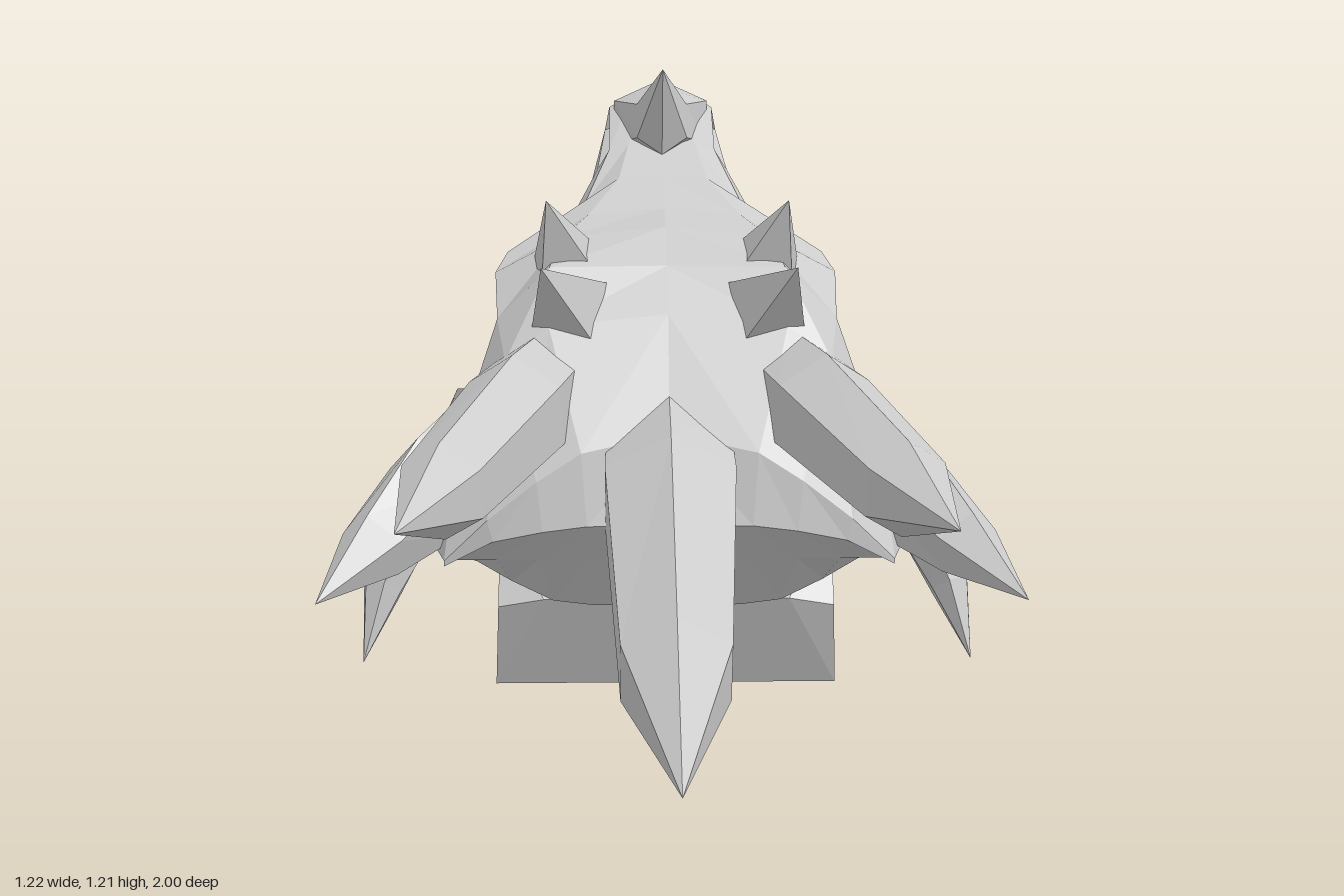
import * as THREE from 'three';

const material = new THREE.MeshStandardMaterial({ color: 0xcccccc, flatShading: true, side: THREE.DoubleSide });

function makeMesh(name, positions) {
  const geo = new THREE.BufferGeometry();
  geo.setAttribute('position', new THREE.Float32BufferAttribute(positions, 3));
  geo.computeVertexNormals();
  const mesh = new THREE.Mesh(geo, material);
  mesh.name = name;
  return mesh;
}

// Joins rows of half-profile points into a skin, mirrored across x = 0
function mirroredSkin(name, rows, isHole = () => false) {
  const out = [];
  const tri = (a, b, c) => {
    out.push(...a, ...b, ...c);
    for (const p of [a, c, b]) out.push(-p[0], p[1], p[2]);
  };
  for (let i = 0; i < rows.length - 1; i++) {
    for (let j = 0; j < rows[i].length - 1; j++) {
      if (isHole(i, j)) continue;
      const a = rows[i][j], b = rows[i][j + 1], c = rows[i + 1][j + 1], d = rows[i + 1][j];
      tri(a, c, b);
      tri(a, d, c);
    }
  }
  return makeMesh(name, out);
}

// Faceted horn: stations are [x, y, z, half width, half height], ending in a point
function horn(name, stations, sides = 6, turn = 0) {
  const pts = stations.map(s => new THREE.Vector3(s[0], s[1], s[2]));
  const rings = stations.map((s, i) => {
    const dir = pts[Math.min(i + 1, pts.length - 1)].clone().sub(pts[Math.max(i - 1, 0)]).normalize();
    const ref = Math.abs(dir.y) > 0.78 ? new THREE.Vector3(0, 0, -1) : new THREE.Vector3(0, 1, 0);
    const side = ref.cross(dir).normalize();
    const up = dir.clone().cross(side);
    return Array.from({ length: sides }, (_, k) => {
      const a = turn + Math.PI / 2 + k / sides * Math.PI * 2;
      return pts[i].clone().addScaledVector(side, Math.cos(a) * s[3]).addScaledVector(up, Math.sin(a) * s[4]).toArray();
    });
  });
  const out = [];
  for (let i = 0; i < rings.length - 1; i++) {
    for (let k = 0; k < sides; k++) {
      const n = (k + 1) % sides;
      const a = rings[i][k], b = rings[i][n], c = rings[i + 1][n], d = rings[i + 1][k];
      out.push(...a, ...b, ...c);
      if (i < rings.length - 2) out.push(...a, ...c, ...d);
    }
  }
  return makeMesh(name, out);
}

// The same horn on both sides
function hornPair(group, name, stations, sides, turn) {
  group.add(horn('left' + name, stations, sides, turn));
  group.add(horn('right' + name, stations.map(([x, ...rest]) => [-x, ...rest]), sides, turn ? -turn : 0));
}

export function createModel() {
  const model = new THREE.Group();
  model.name = 'hornedSkull';

  // Cranium from beak tip to nape; each row runs from the crown to the lower edge
  const snout = [
    [[0, 0.96, -0.89], [0.03, 0.96, -0.885], [0.05, 0.955, -0.88], [0.06, 0.95, -0.87], [0.06, 0.94, -0.85]],
    [[0, 1.09, -0.82], [0.05, 1.08, -0.82], [0.085, 1.04, -0.81], [0.1, 0.99, -0.79], [0.1, 0.94, -0.78]],
    [[0, 1.17, -0.7], [0.06, 1.15, -0.68], [0.11, 1.12, -0.66], [0.12, 1.07, -0.69], [0.14, 0.89, -0.7]],
    [[0, 1.05, -0.5], [0.07, 1.05, -0.5], [0.11, 1.04, -0.5], [0.135, 1.0, -0.48], [0.2, 0.77, -0.53]],
    [[0, 0.99, -0.39], [0.09, 0.99, -0.39], [0.16, 0.94, -0.37], [0.22, 0.85, -0.38], [0.26, 0.7, -0.45]],
  ];
  const brow = [
    [[0, 0.94, -0.28], [0.15, 0.93, -0.26], [0.31, 0.86, -0.22], [0.31, 0.74, -0.27], [0.31, 0.64, -0.37]],
    [[0, 0.92, -0.12], [0.2, 0.9, -0.12], [0.33, 0.83, -0.14], [0.36, 0.58, -0.1], [0.37, 0.42, -0.18]],
    [[0, 0.86, 0], [0.22, 0.86, 0.02], [0.32, 0.76, 0], [0.34, 0.67, 0], [0.46, 0.35, -0.02]],
  ];
  const nape = [
    [[0, 0.78, 0.08], [0.22, 0.76, 0.1], [0.3, 0.7, 0.12], [0.39, 0.55, 0.1], [0.44, 0.36, 0.12]],
    [[0, 0.58, 0.2], [0.16, 0.55, 0.23], [0.24, 0.5, 0.24], [0.33, 0.43, 0.24], [0.41, 0.35, 0.22]],
    [[0, 0.42, 0.24], [0.15, 0.42, 0.25], [0.23, 0.41, 0.25], [0.32, 0.39, 0.24], [0.41, 0.34, 0.22]],
    [[0, 0.33, 0.14], [0.15, 0.33, 0.14], [0.24, 0.33, 0.14], [0.32, 0.33, 0.14], [0.4, 0.33, 0.14]],
    [[0, 0.2, 0], [0.14, 0.2, 0], [0.22, 0.21, 0], [0.3, 0.25, 0], [0.4, 0.31, 0]],
  ];
  const cranium = [...snout, ...brow, ...nape];
  // Nostril and eye sockets stay open
  const socket = (i, j) => j === 2 && (i === 2 || i === 5 || i === 6);
  model.add(mirroredSkin('cranium', cranium, socket));

  // Recessed nostril walls
  model.add(mirroredSkin('nostrilWalls', [
    [[0.11, 1.12, -0.66], [0.06, 1.09, -0.65], [0.12, 1.07, -0.69]],
    [[0.11, 1.04, -0.5], [0.07, 1.02, -0.51], [0.135, 1.0, -0.48]],
  ]));

  // Roof of the mouth between the lower edges, then the throat down to the jaw joint
  const palate = cranium.slice(0, 7).map(row => {
    const [x, y, z] = row[4];
    return [[0, y + x * 0.25, z], [x * 0.6, y + x * 0.2, z], [x, y, z]];
  });
  const throat = [[0, 0.2, -0.06], [0.24, 0.2, -0.06], [0.36, 0.27, -0.06]];
  model.add(mirroredSkin('palate', [...palate, throat]));

  // Cheek flare joining the skull to the jaw horns
  model.add(mirroredSkin('cheek', [
    [[0.34, 0.66, 0], [0.36, 0.58, -0.1], [0.37, 0.42, -0.18], [0.36, 0.27, -0.06]],
    [[0.41, 0.57, 0], [0.43, 0.5, -0.13], [0.48, 0.38, -0.18], [0.46, 0.3, -0.06]],
    [[0.44, 0.46, 0.04], [0.52, 0.4, -0.04], [0.54, 0.33, -0.1], [0.48, 0.3, -0.02]],
  ]));

  // Lower jaw: floor, inner rim, outer rim, side, keel
  const jaw = [
    [[0, 0.2, -0.04], [0.24, 0.2, -0.04], [0.33, 0.18, -0.06], [0.34, 0, -0.13], [0, 0, -0.13]],
    [[0, 0.2, -0.2], [0.25, 0.33, -0.2], [0.33, 0.35, -0.18], [0.34, 0.01, -0.2], [0, 0, -0.2]],
    [[0, 0.22, -0.42], [0.21, 0.37, -0.45], [0.29, 0.39, -0.45], [0.27, 0.01, -0.42], [0, 0.005, -0.42]],
    [[0, 0.37, -0.62], [0.15, 0.43, -0.62], [0.23, 0.44, -0.61], [0.2, 0.36, -0.67], [0, 0.35, -0.67]],
    [[0, 0.5, -0.83], [0.1, 0.58, -0.85], [0.17, 0.6, -0.84], [0.16, 0.43, -0.83], [0, 0.43, -0.83]],
    [[0, 0.63, -0.97], [0.07, 0.65, -0.97], [0.11, 0.66, -1], [0.11, 0.51, -1], [0, 0.51, -1]],
  ];
  model.add(mirroredSkin('lowerJaw', jaw));
  // End walls of the jaw
  for (const [name, r] of [['jawBack', jaw[0]], ['chin', jaw[5]]]) {
    model.add(mirroredSkin(name, [r.slice(0, 3), [r[4], r[3], r[3]]]));
  }

  // Beak crest pointing back over the snout
  model.add(horn('noseHorn', [[0, 1.05, -0.8, 0.08, 0.07], [0, 1.09, -0.64, 0.115, 0.09], [0, 1.1, -0.5, 0.06, 0.075], [0, 1.21, -0.39, 0, 0]]));

  // Large horns
  model.add(horn('napeHorn', [[0, 0.52, 0.08, 0.13, 0.14], [0, 0.47, 0.25, 0.135, 0.14], [0, 0.28, 0.66, 0.105, 0.115], [0, 0.2, 1, 0, 0]]));
  hornPair(model, 'CrownHorn', [[0.22, 0.65, 0.02, 0.09, 0.1], [0.275, 0.62, 0.2, 0.1, 0.11], [0.385, 0.55, 0.52, 0.08, 0.085], [0.44, 0.54, 0.76, 0, 0]]);
  hornPair(model, 'CheekHorn', [[0.36, 0.5, 0, 0.1, 0.13], [0.44, 0.46, 0.12, 0.09, 0.11], [0.53, 0.39, 0.27, 0.065, 0.065], [0.61, 0.34, 0.46, 0, 0]], 5);
  hornPair(model, 'JawHorn', [[0.38, 0.6, -0.05, 0.03, 0.05], [0.43, 0.46, -0.08, 0.045, 0.09], [0.5, 0.34, -0.08, 0.055, 0.1], [0.55, 0.23, -0.01, 0.04, 0.06], [0.58, 0.11, 0.07, 0, 0]], 6);

  // Four-sided spikes on the brow
  hornPair(model, 'FrontSpike', [[0.19, 0.85, -0.06, 0.08, 0.08], [0.225, 0.985, 0.03, 0, 0]], 4, Math.PI / 4);
  hornPair(model, 'RearSpike', [[0.185, 0.78, 0.05, 0.09, 0.09], [0.23, 0.88, 0.19, 0, 0]], 4, Math.PI / 4);

  // Teeth spaced along the jaw edge
  const teeth = (name, edge, count, length, width, lean) => {
    const curve = new THREE.CatmullRomCurve3(edge.map(p => new THREE.Vector3(...p)));
    for (let i = 0; i < count; i++) {
      const p = curve.getPointAt(i / (count - 1));
      const l = length * (i % 2 ? 0.85 : 1);
      hornPair(model, name + (i + 1), [[p.x, p.y, p.z, width, width], [p.x * 0.95, p.y + l, p.z + lean, 0, 0]], 4);
    }
  };
  teeth('UpperTooth', [[0.085, 0.97, -0.77], [0.12, 0.91, -0.7], [0.18, 0.79, -0.53], [0.27, 0.67, -0.39]], 6, -0.14, 0.048, -0.04);
  teeth('LowerTooth', [[0.19, 0.41, -0.58], [0.13, 0.57, -0.83], [0.085, 0.64, -0.97]], 6, 0.12, 0.035, 0.02);

  return model;
}
